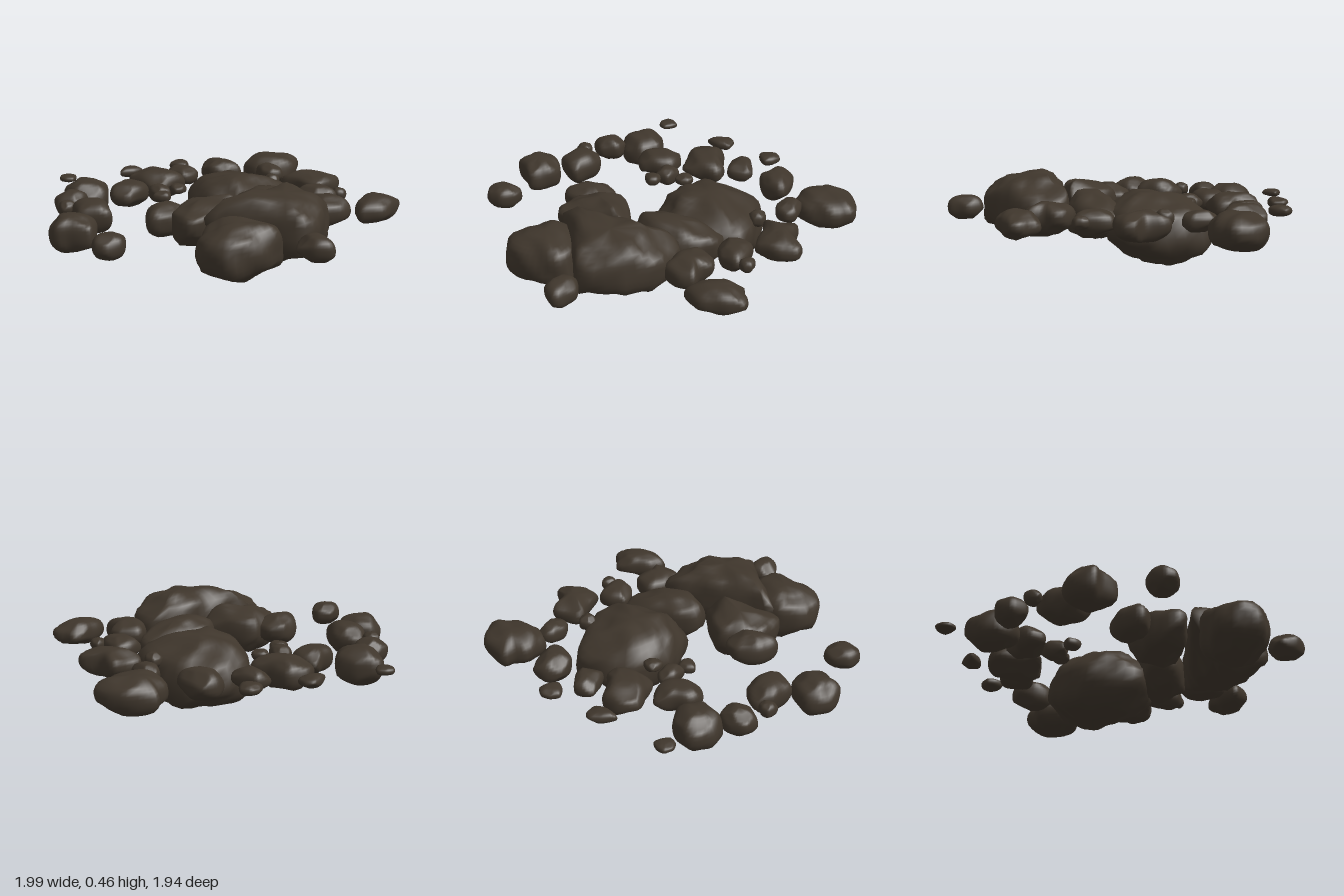
import * as THREE from 'three';

const SEGMENTS = 36, RINGS = 17;
const stone = new THREE.MeshStandardMaterial({ color: 0x3f362c });
stone.name = 'darkStone';

// Small seeded random generator
function seeded(seed) {
  let s = seed;
  return () => (s = (s * 16807) % 2147483647) / 2147483647;
}

// A gentle, repeatable bump pattern
const bump = (x, y, z) =>
  Math.sin(x * 23 + z * 11) * Math.sin(y * 31 + z * 17 + 1.3) * 0.6 + Math.sin(x * 41 - z * 37 + y * 19) * 0.4;

// Slanting planes that chip flat faces off the upper and lower shoulders of a stone
function chipPlanes(random) {
  const planes = [];
  for (let i = 0; i < 10; i++) {
    const angle = (i / 5 + random() * 0.25) * Math.PI * 2;
    const tilt = (i < 5 ? 1 : -1) * (0.55 + random() * 0.5);
    const normal = new THREE.Vector3(
      Math.cos(angle) * Math.cos(tilt), Math.sin(tilt), Math.sin(angle) * Math.cos(tilt));
    planes.push(new THREE.Plane(normal, -(0.91 + random() * 0.12)));
  }
  return planes;
}

// One stone: a plan outline (x, z pairs) swelling between a bottom and a top height.
// square: lower is blockier; slope: tilt of the top along x and z;
// belly: height share of the widest ring; lean: shift of the underside.
function rock(group, name, bottom, top, plan, { square = 0.7, slope = [0, 0], belly = 0.5, lean = [0, 0] } = {}) {
  const corners = [];
  for (let i = 0; i < plan.length; i += 2) corners.push(new THREE.Vector3(plan[i], 0, plan[i + 1]));
  const curve = new THREE.CatmullRomCurve3(corners, true, 'catmullrom', 0.3);
  const outline = curve.getSpacedPoints(SEGMENTS).slice(0, SEGMENTS);
  if (THREE.ShapeUtils.area(outline.map((p) => new THREE.Vector2(p.x, p.z))) > 0) outline.reverse();

  // Middle of the plan's bounds
  const box = new THREE.Box3().setFromPoints(outline);
  const c = box.getCenter(new THREE.Vector3());
  const size = box.getSize(new THREE.Vector3());
  const rough = Math.min(size.x, size.z, 0.4) * 0.035;
  const middle = bottom + (top - bottom) * belly;
  const planes = chipPlanes(seeded(Math.round(5000 + c.x * 1700 + c.z * 2900)));
  const positions = [], index = [];
  const unit = new THREE.Vector3();

  const add = (px, pz, s, lift) => {
    unit.set(((px - c.x) * s * 2) / size.x, lift, ((pz - c.z) * s * 2) / size.z);
    for (const plane of planes) {
      const over = plane.distanceToPoint(unit);
      if (over > 0) unit.addScaledVector(plane.normal, -over);
    }
    const dx = (unit.x * size.x) / 2, dz = (unit.z * size.z) / 2, h = unit.y;
    const under = Math.max(0, -h);
    let y = middle + h * (h > 0 ? top - middle : middle - bottom);
    if (h > 0) y += h * (slope[0] * dx + slope[1] * dz);
    const b = bump(c.x + dx, y, c.z + dz) * rough;
    positions.push(c.x + dx + unit.x * b + lean[0] * under, y + h * b * 0.7, c.z + dz + unit.z * b + lean[1] * under);
  };

  add(c.x, c.z, 0, -1);
  for (let r = 1; r < RINGS; r++) {
    const a = -Math.PI / 2 + (Math.PI * r) / RINGS;
    const s = Math.pow(Math.cos(a), square);
    const lift = Math.sign(a) * Math.pow(Math.abs(Math.sin(a)), 0.9);
    for (const p of outline) add(p.x, p.z, s, lift);
  }
  add(c.x, c.z, 0, 1);

  const last = positions.length / 3 - 1;
  for (let i = 0; i < SEGMENTS; i++) {
    const j = (i + 1) % SEGMENTS;
    index.push(0, 1 + j, 1 + i);
    for (let r = 0; r < RINGS - 2; r++) {
      const a = 1 + r * SEGMENTS, b = a + SEGMENTS;
      index.push(a + i, a + j, b + j, a + i, b + j, b + i);
    }
    const t = 1 + (RINGS - 2) * SEGMENTS;
    index.push(t + i, t + j, last);
  }
  const geometry = new THREE.BufferGeometry();
  geometry.setAttribute('position', new THREE.Float32BufferAttribute(positions, 3));
  geometry.setIndex(index);
  geometry.computeVertexNormals();
  const mesh = new THREE.Mesh(geometry, stone);
  mesh.name = name;
  group.add(mesh);
}

// A small round stone with a slightly uneven outline
function pebble(group, name, x, z, radius, bottom, top) {
  const plan = [];
  for (let i = 0; i < 7; i++) {
    const a = (i / 7) * Math.PI * 2, r = radius * (1.04 + 0.1 * Math.sin(i * 2.7 + x * 20));
    plan.push(x + Math.cos(a) * r, z + Math.sin(a) * r);
  }
  rock(group, name, bottom, top, plan);
}

export function createModel() {
  const g = new THREE.Group();
  g.name = 'rockCluster';

  // Large central boulders
  rock(g, 'domeBoulder', 0.005, 0.375,
    [.17, -.33, .26, -.33, .39, -.31, .48, -.22, .5, 0, .45, .21, .27, .25, -.05, .14, -.05, -.03, -.02, -.16, .05, -.24, .1, -.3],
    { square: 0.72, belly: 0.5, slope: [-0.05, 0.08], lean: [0.02, -0.06] });
  rock(g, 'bridgeBoulder', 0.13, 0.37,
    [-.11, .2, -.05, .15, .06, .13, .25, .16, .36, .19, .34, .31, .17, .41, 0, .37, -.1, .29],
    { square: 0.6, slope: [-0.15, 0] });
  rock(g, 'wedgeBoulder', 0.14, 0.39,
    [-.26, .02, -.18, .11, -.11, .29, -.16, .32, -.35, .31, -.53, .28, -.52, .18, -.46, .08],
    { square: 0.45, slope: [0, 0.2] });
  rock(g, 'wedgeCap', 0.19, 0.36,
    [-.57, .03, -.5, -.06, -.37, -.09, -.3, -.03, -.31, .07, -.45, .11, -.55, .08]);
  rock(g, 'frontSlab', 0.12, 0.45,
    [-.48, .32, -.2, .35, .17, .41, .15, .58, .11, .65, -.05, .74, -.26, .78, -.34, .6, -.43, .42],
    { square: 0.46, slope: [-0.02, -0.1] });
  rock(g, 'sideBoulder', 0.09, 0.38,
    [-.71, .5, -.66, .41, -.5, .35, -.4, .38, -.3, .5, -.33, .68, -.42, .72, -.58, .69, -.69, .63],
    { square: 0.6, slope: [0.12, 0], lean: [0.03, 0] });

  // Front and left side stones
  rock(g, 'frontStone', .2, .33, [-.39, .8, -.33, .77, -.25, .78, -.23, .87, -.28, .95, -.32, .96, -.38, .9]);
  rock(g, 'frontLeftStone', .2, .34,
    [.27, .74, .33, .67, .46, .63, .54, .64, .55, .69, .58, .74, .57, .8, .43, .83, .36, .82]);
  rock(g, 'slabEdgeStone', .19, .35,
    [.13, .59, .18, .45, .26, .4, .36, .47, .36, .54, .31, .58, .3, .66, .22, .66]);
  rock(g, 'bridgeEdgeStone', .2, .33, [.36, .26, .45, .25, .52, .28, .51, .4, .47, .46, .38, .43, .35, .35]);
  rock(g, 'leftStone', .19, .34,
    [.53, .05, .58, .02, .7, .04, .72, .09, .71, .17, .76, .24, .74, .3, .64, .31, .53, .28, .54, .15]);
  rock(g, 'leftSmallStone', .22, .33, [.57, -.13, .61, -.2, .66, -.22, .7, -.19, .69, -.07, .64, -.04, .58, -.07]);
  rock(g, 'farLeftStone', .15, .34,
    [.65, -.23, .7, -.37, .77, -.38, .81, -.42, .94, -.36, 1, -.26, .98, -.16, .85, -.11, .73, -.14]);

  // Back arc of stones
  rock(g, 'backLeftStone', .18, .34,
    [.43, -.4, .45, -.5, .53, -.53, .61, -.5, .61, -.35, .57, -.29, .47, -.32]);
  rock(g, 'backLeftSmallStone', .21, .32, [.24, -.6, .34, -.61, .36, -.55, .38, -.46, .34, -.43, .24, -.45]);
  rock(g, 'backMiddleStone', .18, .34,
    [-.01, -.65, .09, -.69, .18, -.65, .19, -.52, .22, -.46, .2, -.4, .06, -.4, -.02, -.44], { square: 0.6 });
  rock(g, 'backFlatStone', .25, .31, [.05, -.78, .12, -.82, .18, -.83, .21, -.79, .19, -.73, .12, -.73]);
  rock(g, 'backInnerStone', .19, .33,
    [-.3, -.49, -.25, -.56, -.17, -.57, -.08, -.6, -.05, -.52, -.08, -.42, -.18, -.4, -.26, -.41]);
  rock(g, 'innerSmallStone', .22, .32, [-.15, -.3, -.12, -.39, -.06, -.42, -.02, -.36, -.07, -.27]);
  rock(g, 'backRightStone', .14, .34,
    [-.45, -.66, -.42, -.75, -.37, -.8, -.3, -.82, -.21, -.74, -.2, -.62, -.31, -.54, -.41, -.58]);
  rock(g, 'backRightSmallStone', .19, .33, [-.6, -.6, -.56, -.67, -.47, -.68, -.41, -.62, -.44, -.54, -.54, -.52]);

  // Right side stones
  rock(g, 'rightInnerStone', .18, .35,
    [-.71, -.32, -.65, -.44, -.56, -.48, -.49, -.38, -.52, -.3, -.59, -.21, -.65, -.24]);
  rock(g, 'rightOuterStone', .15, .34,
    [-.95, -.24, -.91, -.34, -.8, -.38, -.73, -.32, -.69, -.24, -.74, -.16, -.83, -.11, -.9, -.2]);
  rock(g, 'farRightStone', .2, .33, [-1, .08, -.95, .02, -.87, .01, -.81, .06, -.82, .12, -.9, .17, -.98, .14]);

  // Scattered pebbles: x, z, radius, bottom, top
  [
    [.52, .44, .04, .24, .31], [.49, 0, .047, .23, .32], [.44, -.66, .058, .25, .31],
    [-.23, -.92, .05, .265, .31], [-.63, -.5, .046, .24, .32],
    [-.15, -.26, .046, .25, .31], [.02, -.3, .047, .25, .31],
  ].forEach((p, i) => pebble(g, `pebble${i + 1}`, ...p));

  return g;
}
